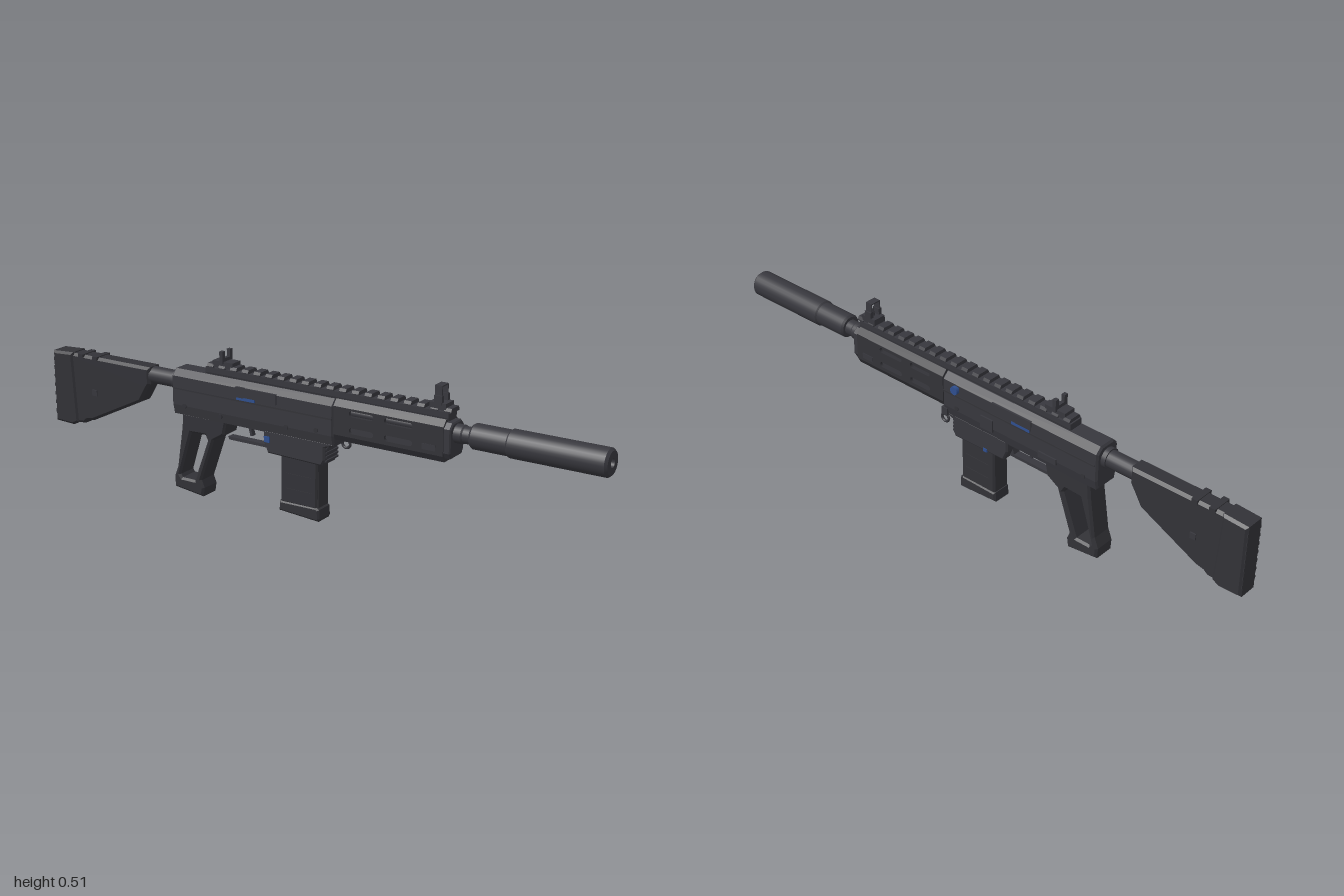
import * as THREE from 'three';

const mat = (name, color) => new THREE.MeshStandardMaterial({ name, color });

export function createModel() {
  const metal = mat('gunmetal', 0x37373d);
  const polymer = mat('darkPolymer', 0x323237);
  const blue = mat('blueAccent', 0x2f4f8f);
  const root = new THREE.Group();
  root.name = 'rifle';
  const body = new THREE.Group();
  body.name = 'body';
  body.position.z = 0.008;
  root.add(body);

  const add = (name, geo, m) => {
    const mesh = new THREE.Mesh(geo, m);
    mesh.name = name;
    body.add(mesh);
    return mesh;
  };
  const v2 = (pts) => pts.map(([x, y]) => new THREE.Vector2(x, y));
  // Side outline (x, y) extruded to half width h, centred on z = zc
  const side = (name, pts, h, bevel, m, holes = [], zc = 0) => {
    const s = new THREE.Shape(v2(pts));
    for (const p of holes) s.holes.push(p instanceof THREE.Path ? p : new THREE.Path(v2(p)));
    const g = new THREE.ExtrudeGeometry(s, {
      depth: 2 * (h - bevel), bevelEnabled: bevel > 0, bevelSize: bevel,
      bevelThickness: bevel, bevelOffset: -bevel, bevelSegments: 1, curveSegments: 6,
    });
    return add(name, g.translate(0, 0, zc - h + bevel), m);
  };
  // Mirrored cross-section, (half width, y) from bottom to top, extruded along x
  const prism = (name, half, x0, x1, m, bevel = 0) => {
    const pts = [...half, ...half.map(([z, y]) => [-z, y]).reverse()];
    const g = new THREE.ExtrudeGeometry(new THREE.Shape(v2(pts)), {
      depth: x1 - x0 - 2 * bevel, bevelEnabled: bevel > 0, bevelSize: bevel,
      bevelThickness: bevel, bevelOffset: -bevel, bevelSegments: 1,
    });
    return add(name, g.rotateY(Math.PI / 2).translate(x0 + bevel, 0, 0), m);
  };
  const box = (name, x0, x1, y0, y1, z0, z1, m) => add(name,
    new THREE.BoxGeometry(x1 - x0, y1 - y0, z1 - z0)
      .translate((x0 + x1) / 2, (y0 + y1) / 2, (z0 + z1) / 2), m);
  // Revolved profile of [radius, x] along the barrel axis
  const turned = (name, prof, y, m, seg = 28) => {
    const pts = [];
    prof.forEach((p, i) => { // doubled points keep the edges crisp
      pts.push(new THREE.Vector2(...p));
      if (i && i < prof.length - 1) pts.push(new THREE.Vector2(...p));
    });
    return add(name, new THREE.LatheGeometry(pts, seg).rotateZ(-Math.PI / 2).translate(0, y, 0), m);
  };

  // Stock
  side('stock', [[-0.94, 0.397], [-0.94, 0.155], [-0.88, 0.158], [-0.865, 0.17], [-0.84, 0.175],
    [-0.635, 0.275], [-0.605, 0.325], [-0.595, 0.34], [-0.595, 0.397]], 0.031, 0.009, polymer);
  side('buttPad', [[-0.915, 0.4], [-1, 0.395], [-1, 0.15], [-0.925, 0.147], [-0.9, 0.16]], 0.037, 0.008, polymer);
  for (let i = 0; i < 7; i++) {
    const y = 0.18 + i * 0.03;
    box('buttPadRib', -1.0, -0.99, y, y + 0.012, -0.032, 0.032, polymer);
  }
  for (const x of [-0.89, -0.83]) box('stockClip', x, x + 0.02, 0.385, 0.4, -0.034, 0.034, polymer);
  for (const s of [1, -1]) box('stockStud', -0.835, -0.815, 0.265, 0.285, s * 0.032 - 0.003, s * 0.032 + 0.003, metal);
  turned('bufferTube', [[0, -0.62], [0.028, -0.62], [0.028, -0.505], [0.033, -0.505], [0.033, -0.485], [0, -0.485]], 0.368, metal, 20);

  // Receiver
  prism('receiver', [[0.04, 0.268], [0.047, 0.3], [0.047, 0.395], [0.027, 0.415]], -0.49, 0.12, metal, 0.006);
  for (const s of [1, -1]) {
    const z = s * 0.047;
    box('receiverSeam', -0.48, 0.115, 0.352, 0.357, z - 0.0025, z + 0.0025, polymer);
    box('portCover', -0.24, -0.085, 0.365, 0.398, z - 0.004, z + 0.004, metal);
    box('boltStrip', -0.235, -0.165, 0.358, 0.368, z - 0.0045, z + 0.0045, blue);
    for (const [x, y] of [[-0.44, 0.3], [-0.3, 0.29], [-0.05, 0.3], [0.06, 0.31]]) {
      add('pin', new THREE.CylinderGeometry(0.008, 0.008, 0.006, 10).rotateX(Math.PI / 2).translate(x, y, z), polymer);
    }
  }
  box('portLatch', -0.235, -0.205, 0.366, 0.4, 0.045, 0.052, metal);
  box('selectorLever', -0.34, -0.27, 0.29, 0.31, -0.052, -0.045, metal);
  box('boltCatch', -0.09, -0.04, 0.29, 0.333, -0.052, -0.045, metal);

  // Charging handle
  add('handleStem', new THREE.CylinderGeometry(0.006, 0.006, 0.02, 10).rotateX(Math.PI / 2).translate(0.055, 0.385, -0.05), blue);
  add('handleKnob', new THREE.CylinderGeometry(0.014, 0.014, 0.011, 16).rotateX(Math.PI / 2).translate(0.055, 0.385, -0.0615), blue);

  // Handguard: slotted side walls between solid top and bottom
  const slot = (x0, x1, y, r) => {
    const p = new THREE.Path();
    p.absarc(x1 - r, y, r, -Math.PI / 2, Math.PI / 2);
    p.absarc(x0 + r, y, r, Math.PI / 2, Math.PI * 1.5);
    return p;
  };
  for (const s of [1, -1]) {
    const holes = [];
    for (const y of [0.329, 0.382]) for (const [a, b] of [[0.175, 0.26], [0.297, 0.393]]) holes.push(slot(a, b, y, 0.009));
    side('handguardWall', [[0.12, 0.312], [0.495, 0.312], [0.495, 0.396], [0.12, 0.396]], 0.005, 0, polymer, holes, s * 0.04);
    box('handguardRecess', 0.425, 0.47, 0.32, 0.338, s * 0.045 - 0.002, s * 0.045 + 0.002, metal);
  }
  prism('handguardTop', [[0.045, 0.394], [0.045, 0.398], [0.028, 0.417]], 0.12, 0.495, polymer);
  prism('handguardBottom', [[0.034, 0.288], [0.045, 0.308], [0.045, 0.314]], 0.12, 0.495, polymer);
  prism('handguardCap', [[0.032, 0.3], [0.042, 0.318], [0.042, 0.392], [0.026, 0.408]], 0.49, 0.517, metal, 0.004);

  // Barrel and muzzle
  turned('barrel', [[0, 0.1], [0.015, 0.1], [0.015, 0.5], [0.029, 0.5], [0.029, 0.54], [0.026, 0.545], [0.026, 0.59], [0, 0.59]], 0.372, metal);
  turned('suppressor', [[0, 0.57], [0.034, 0.57], [0.039, 0.577], [0.039, 0.69], [0.043, 0.695],
    [0.043, 0.992], [0.036, 1], [0.014, 1], [0.014, 0.95], [0, 0.95]], 0.374, metal);

  // Top rail with teeth
  prism('railBase', [[0.022, 0.41], [0.025, 0.42], [0.025, 0.437]], -0.37, 0.5, metal);
  for (let i = 0; i < 20; i++) {
    const x = -0.365 + i * 0.0447;
    prism('railTooth', [[0.025, 0.435], [0.025, 0.44], [0.02, 0.449]], x, x + 0.024, metal);
  }

  // Rear sight
  box('rearSightBase', -0.345, -0.268, 0.44, 0.461, -0.021, 0.021, metal);
  for (const s of [1, -1]) box('rearSightWing', -0.314, -0.302, 0.455, 0.495, s * 0.02 - 0.007, s * 0.02 + 0.007, metal);
  box('rearSightBar', -0.314, -0.302, 0.455, 0.472, -0.02, 0.02, metal);
  // Front sight
  box('frontSightBase', 0.435, 0.49, 0.44, 0.461, -0.023, 0.023, metal);
  for (const s of [1, -1]) {
    box('frontSightEar', 0.45, 0.476, 0.455, 0.482, s * 0.018 - 0.006, s * 0.018 + 0.006, metal);
    box('frontSightHood', 0.45, 0.474, 0.455, 0.51, s * 0.0175 - 0.002, s * 0.0175 + 0.002, metal);
  }
  box('frontSightHoodTop', 0.45, 0.474, 0.508, 0.512, -0.0185, 0.0185, metal);
  add('frontSightPin', new THREE.ConeGeometry(0.006, 0.04, 8).translate(0.462, 0.475, 0), metal);

  // Magazine well and magazine
  side('magazineWell', [[-0.14, 0.275], [-0.14, 0.235], [-0.125, 0.2], [0.075, 0.195], [0.085, 0.215],
    [0.085, 0.255], [0.118, 0.265], [0.118, 0.275]], 0.041, 0.005, metal);
  for (let i = 0; i < 4; i++) {
    const y = 0.208 + i * 0.013;
    box('magazineWellRib', 0.07, 0.089, y, y + 0.006, -0.034, 0.034, metal);
  }
  side('magazine', [[-0.08, 0.21], [-0.083, 0.045], [0.052, 0.045], [0.055, 0.21]], 0.033, 0.006, polymer);
  for (const s of [1, -1]) for (const y of [0.09, 0.14]) {
    box('magazineRib', -0.06, 0.035, y, y + 0.006, s * 0.033 - 0.002, s * 0.033 + 0.002, polymer);
  }
  box('magazineSpine', 0.05, 0.056, 0.05, 0.195, -0.026, 0.026, polymer);
  side('magazineBase', [[-0.086, 0.05], [-0.088, 0.016], [0.058, 0.006], [0.062, 0.015], [0.06, 0.045], [0.05, 0.052]], 0.035, 0.006, polymer);
  box('magazineRelease', -0.135, -0.115, 0.236, 0.255, 0.036, 0.045, blue);
  box('magazineCatch', -0.06, -0.045, 0.198, 0.21, -0.043, -0.036, blue);

  // Open-frame grip
  side('grip', [[-0.457, 0.274], [-0.462, 0.22], [-0.483, 0.085], [-0.497, 0.05], [-0.495, 0.014], [-0.383, 0],
    [-0.378, 0.03], [-0.388, 0.055], [-0.336, 0.2], [-0.295, 0.225], [-0.285, 0.274]], 0.039, 0.007, polymer,
  [[[-0.425, 0.21], [-0.472, 0.06], [-0.465, 0.05], [-0.415, 0.05], [-0.36, 0.195], [-0.37, 0.212]]]);

  // Trigger and guard
  side('trigger', [[-0.225, 0.275], [-0.205, 0.275], [-0.208, 0.25], [-0.203, 0.232], [-0.212, 0.23], [-0.217, 0.25]], 0.008, 0, metal);
  side('triggerGuard', [[-0.295, 0.216], [-0.29, 0.206], [-0.125, 0.206], [-0.125, 0.235], [-0.14, 0.235], [-0.145, 0.216]], 0.013, 0, metal);

  // Sling ring
  add('slingRing', new THREE.TorusGeometry(0.014, 0.0045, 8, 16).translate(0.112, 0.252, -0.043), metal);
  box('slingMount', 0.1, 0.124, 0.262, 0.29, -0.048, -0.038, metal);

  return root;
}
